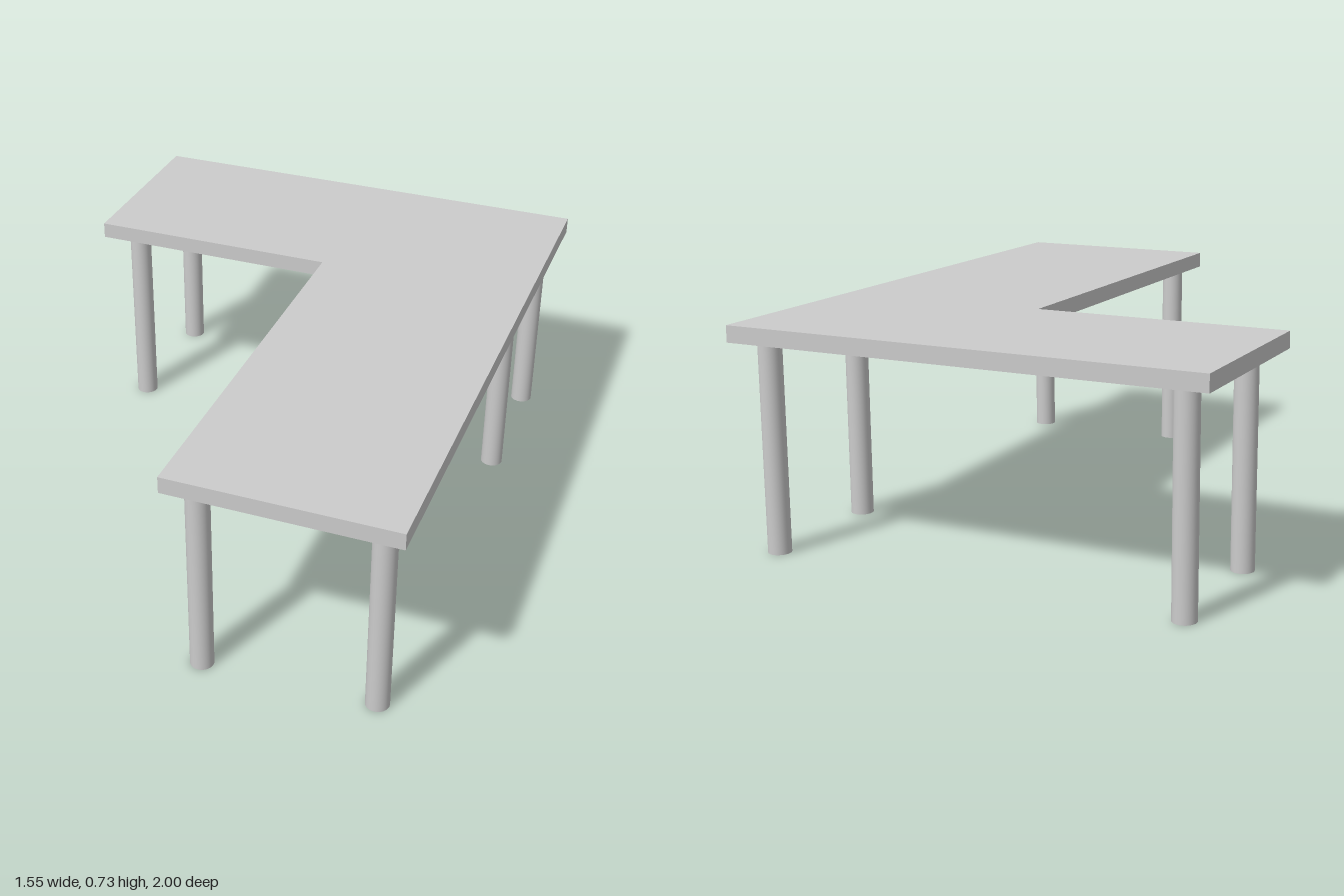
import * as THREE from 'three';

export function createModel() {
  const group = new THREE.Group();
  const material = new THREE.MeshStandardMaterial({ color: 0xcccccc });
  const legHeight = 0.672, topThickness = 0.053, legRadius = 0.037;

  // L-shaped top, drawn as (x, -z) and laid flat
  const outline = [
    [-0.773, 1], [-0.773, 0.362], [0.058, 0.362],
    [0.058, -1], [0.773, -1], [0.773, 1],
  ].map(([x, y]) => new THREE.Vector2(x, y));
  const topGeometry = new THREE.ExtrudeGeometry(new THREE.Shape(outline), {
    depth: topThickness, bevelEnabled: false,
  });
  topGeometry.rotateX(-Math.PI / 2);
  const top = new THREE.Mesh(topGeometry, material);
  top.name = 'tableTop';
  top.position.y = legHeight;
  group.add(top);

  // Round legs: a pair at each end and a pair at the corner
  const legGeometry = new THREE.CylinderGeometry(legRadius, legRadius, legHeight, 32);
  const legs = {
    backRightLeg: [-0.674, -0.908],
    innerRightLeg: [-0.674, -0.452],
    backLeftLeg: [0.686, -0.908],
    innerLeftLeg: [0.686, -0.452],
    frontRightLeg: [0.136, 0.909],
    frontLeftLeg: [0.686, 0.889],
  };
  for (const [name, [x, z]] of Object.entries(legs)) {
    const leg = new THREE.Mesh(legGeometry, material);
    leg.name = name;
    leg.position.set(x, legHeight / 2, z);
    group.add(leg);
  }
  return group;
}
